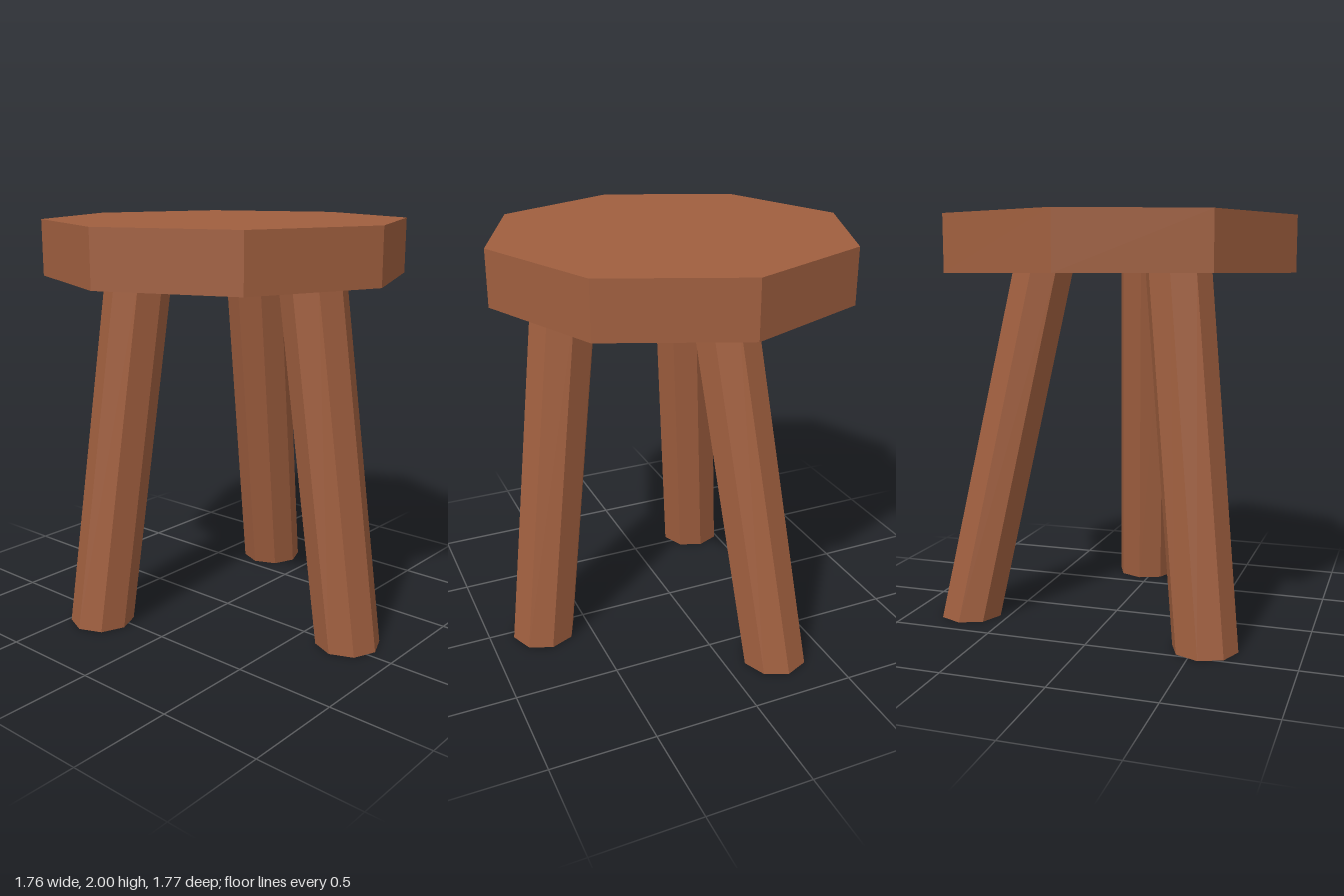
import * as THREE from 'three';

const SEAT_BOTTOM = 1.735;
const wood = new THREE.MeshStandardMaterial({ color: 0xa05f3f, flatShading: true });

// Octagonal leg with level ends, sheared so it leans from foot to seat.
function makeLeg(name, [footX, footZ], [topX, topZ]) {
  const height = SEAT_BOTTOM + 0.01;
  const geometry = new THREE.CylinderGeometry(0.158, 0.158, height, 8);
  geometry.translate(0, height / 2, 0);
  const shear = new THREE.Matrix4().set(
    1, (topX - footX) / SEAT_BOTTOM, 0, footX,
    0, 1, 0, 0,
    0, (topZ - footZ) / SEAT_BOTTOM, 1, footZ,
    0, 0, 0, 1
  );
  geometry.applyMatrix4(shear);
  const leg = new THREE.Mesh(geometry, wood);
  leg.name = name;
  return leg;
}

export function createModel() {
  const stool = new THREE.Group();
  stool.name = 'stool';

  // Thick octagonal seat with corners on the axes
  const thickness = 2 - SEAT_BOTTOM;
  const seat = new THREE.Mesh(new THREE.CylinderGeometry(0.878, 0.878, thickness, 8), wood);
  seat.name = 'seat';
  seat.position.set(0, 2 - thickness / 2, -0.007);
  stool.add(seat);

  // Three splayed legs: foot centre, then centre under the seat (x, z)
  stool.add(
    makeLeg('frontLeg', [0.045, 0.727], [-0.017, 0.52]),
    makeLeg('leftLeg', [0.702, -0.253], [0.352, -0.105]),
    makeLeg('rightLeg', [-0.55, -0.372], [-0.373, -0.235])
  );
  return stool;
}
